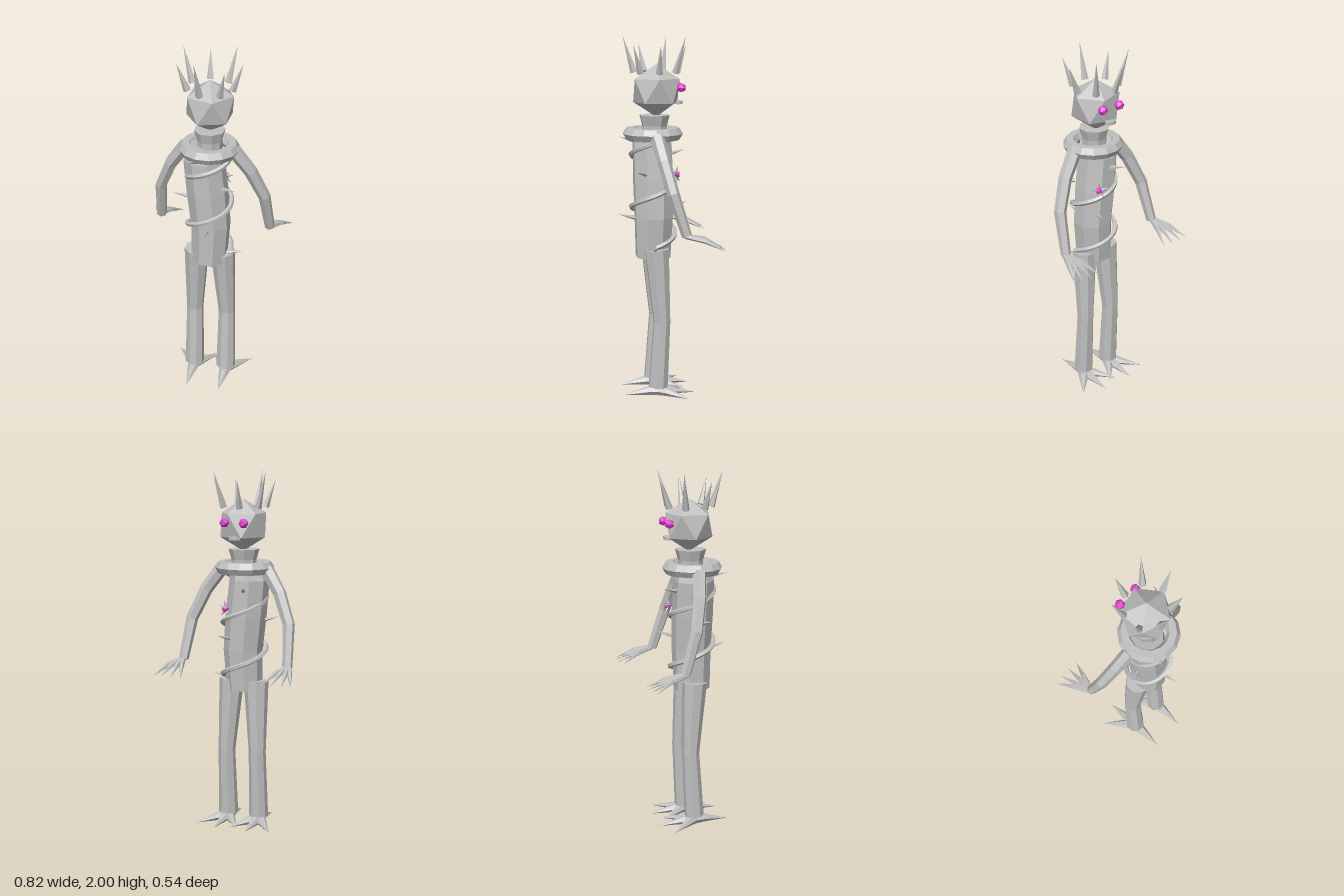
import * as THREE from 'three';

const V = (x, y, z) => new THREE.Vector3(x, y, z);

// Lofted polygonal limb through points with a radius at each; one common side direction
function limb(points, radii, sides = 8, flat = 1) {
  const pos = [], idx = [], n = points.length;
  const main = points[n - 1].clone().sub(points[0]).normalize();
  const ref = Math.abs(main.y) > 0.7 ? V(1, 0, 0) : V(0, 1, 0);
  points.forEach((p, i) => {
    const t = points[Math.min(i + 1, n - 1)].clone().sub(points[Math.max(i - 1, 0)]).normalize();
    const u = ref.clone().addScaledVector(t, -ref.dot(t)).normalize();
    const v = t.clone().cross(u);
    for (let j = 0; j < sides; j++) {
      const a = (j + 0.5) / sides * Math.PI * 2;
      const q = p.clone().addScaledVector(u, Math.cos(a) * radii[i] * flat).addScaledVector(v, Math.sin(a) * radii[i]);
      pos.push(q.x, q.y, q.z);
    }
  });
  for (let i = 0; i < n - 1; i++) for (let j = 0; j < sides; j++) {
    const k = (j + 1) % sides, a = i * sides, b = a + sides;
    idx.push(a + j, a + k, b + j, a + k, b + k, b + j);
  }
  // End caps
  const last = (n - 1) * sides;
  for (let j = 1; j < sides - 1; j++) idx.push(0, j + 1, j, last, last + j, last + j + 1);
  const g = new THREE.BufferGeometry();
  g.setAttribute('position', new THREE.Float32BufferAttribute(pos, 3));
  g.setIndex(idx);
  g.computeVertexNormals();
  return g;
}

// Cone running from base to tip
function spike(base, tip, r, sides = 5) {
  const d = tip.clone().sub(base), len = d.length();
  const g = new THREE.ConeGeometry(r, len, sides).translate(0, len / 2, 0);
  g.applyQuaternion(new THREE.Quaternion().setFromUnitVectors(V(0, 1, 0), d.normalize()));
  return g.translate(base.x, base.y, base.z);
}

export function createModel() {
  const grey = new THREE.MeshStandardMaterial({ color: 0xc0c0c0, flatShading: true });
  grey.name = 'bark grey';
  const pink = new THREE.MeshStandardMaterial({ color: 0xe242ce, flatShading: true });
  pink.name = 'glowing magenta';
  const model = new THREE.Group();
  const add = (name, geo, mat = grey) => {
    const m = new THREE.Mesh(geo, mat);
    m.name = name;
    model.add(m);
    return m;
  };

  // Torso and flared neck in one crooked trunk
  add('torso', limb(
    [V(0, 0.775, 0.07), V(0.008, 1.0, 0.067), V(-0.01, 1.2, 0.067), V(-0.03, 1.4, 0.07), V(-0.015, 1.47, 0.065)],
    [0.1, 0.11, 0.115, 0.112, 0.095]));
  add('neck', limb([V(0, 1.43, 0.06), V(0, 1.51, 0.06), V(0, 1.568, 0.06)], [0.068, 0.07, 0.086]));
  add('collar', new THREE.TorusGeometry(0.128, 0.038, 6, 14).rotateX(Math.PI / 2).translate(0, 1.466, 0.07));

  // Head: icosahedron standing on a vertex
  add('head', new THREE.IcosahedronGeometry(0.145, 0)
    .rotateZ(-Math.atan(2 / (1 + Math.sqrt(5)))).translate(0, 1.702, 0.05));
  add('mouth', new THREE.CylinderGeometry(0.034, 0.034, 0.018, 8).scale(1, 1, 0.65).translate(0, 1.636, -0.073));
  for (const s of [-1, 1]) add('eye', new THREE.IcosahedronGeometry(0.028, 0).translate(s * 0.057, 1.72, -0.078), pink);

  // Crown of seven spikes, alternately short and tall
  for (let k = 0; k < 7; k++) {
    const a = -k / 7 * Math.PI * 2, tall = k % 2;
    const at = (r, y) => V(Math.cos(a) * r, y, 0.05 + Math.sin(a) * r);
    add('crownSpike', spike(at(0.122, 1.8), at(tall ? 0.184 : 0.178, tall ? 1.998 : 1.952), 0.021));
  }

  for (const s of [-1, 1]) {
    // Arm
    add('arm', limb(
      [V(s * 0.135, 1.46, 0.065), V(s * 0.222, 1.335, 0.04), V(s * 0.293, 1.17, 0.0), V(s * 0.314, 0.945, -0.07)],
      [0.04, 0.037, 0.034, 0.028], 6));
    // Drooping clawed fingers
    for (const [x, z] of [[0.24, -0.262], [0.297, -0.274], [0.358, -0.274], [0.408, -0.262]]) {
      const mx = 0.322 + (x - 0.322) * 0.5;
      add('finger', limb([V(s * 0.32, 0.948, -0.06), V(s * mx, 0.925, -0.165), V(s * x, 0.876, z)],
        [0.015, 0.014, 0.0005], 5));
    }
    // Leg
    add('leg', limb(
      [V(s * 0.075, 0.828, 0.06), V(s * 0.094, 0.42, 0.033), V(s * 0.094, 0.045, 0.055)],
      [0.07, 0.048, 0.055]));
    // Three front toes and a heel spur
    for (const [dx, z] of [[0, -0.148], [0.127, -0.1], [-0.115, -0.1], [0, 0.25]]) {
      const c = V(s * 0.095, 0.024, 0.053), tip = V(s * (0.095 + dx), 0.003, z);
      const mid = c.clone().lerp(tip, 0.3).setY(0.022);
      add('toe', limb([c, mid, tip], [0.036, 0.028, 0.0005], 6, 0.85));
    }
  }

  // Vine winding two turns up the trunk
  const vinePts = [];
  for (let i = 0; i <= 32; i++) {
    const a = -i / 32 * Math.PI * 4, r = 0.122;
    vinePts.push(V(Math.cos(a) * r, 0.845 + i / 32 * 0.585, 0.068 + Math.sin(a) * r));
  }
  add('vine', new THREE.TubeGeometry(new THREE.CatmullRomCurve3(vinePts), 56, 0.014, 5));

  // Thorns: angle around the trunk, height
  for (const [deg, y] of [[3, 0.845], [85, 1.015], [165, 1.185], [33, 1.265], [295, 1.09], [250, 1.36], [115, 1.435]]) {
    const a = deg * Math.PI / 180;
    const at = (r, h) => V(Math.cos(a) * r, h, 0.068 + Math.sin(a) * r);
    add('thorn', spike(at(0.105, y - 0.015), at(0.2, y + 0.008), 0.013));
  }

  // Star blossom on the chest
  const flower = new THREE.Group();
  flower.name = 'blossom';
  for (let k = 0; k < 5; k++) {
    const a = Math.PI / 2 + k / 5 * Math.PI * 2;
    const petal = new THREE.Mesh(spike(V(0, 0, 0), V(Math.cos(a) * 0.05, Math.sin(a) * 0.05, 0.018), 0.014, 4), grey);
    petal.name = 'petal';
    flower.add(petal);
  }
  const heart = new THREE.Mesh(new THREE.IcosahedronGeometry(0.021, 0).translate(0, 0, 0.008), pink);
  heart.name = 'blossomHeart';
  flower.add(heart);
  flower.position.set(0.06, 1.243, -0.045);
  flower.rotation.y = Math.atan2(0.06, -0.113);
  model.add(flower);

  return model;
}
